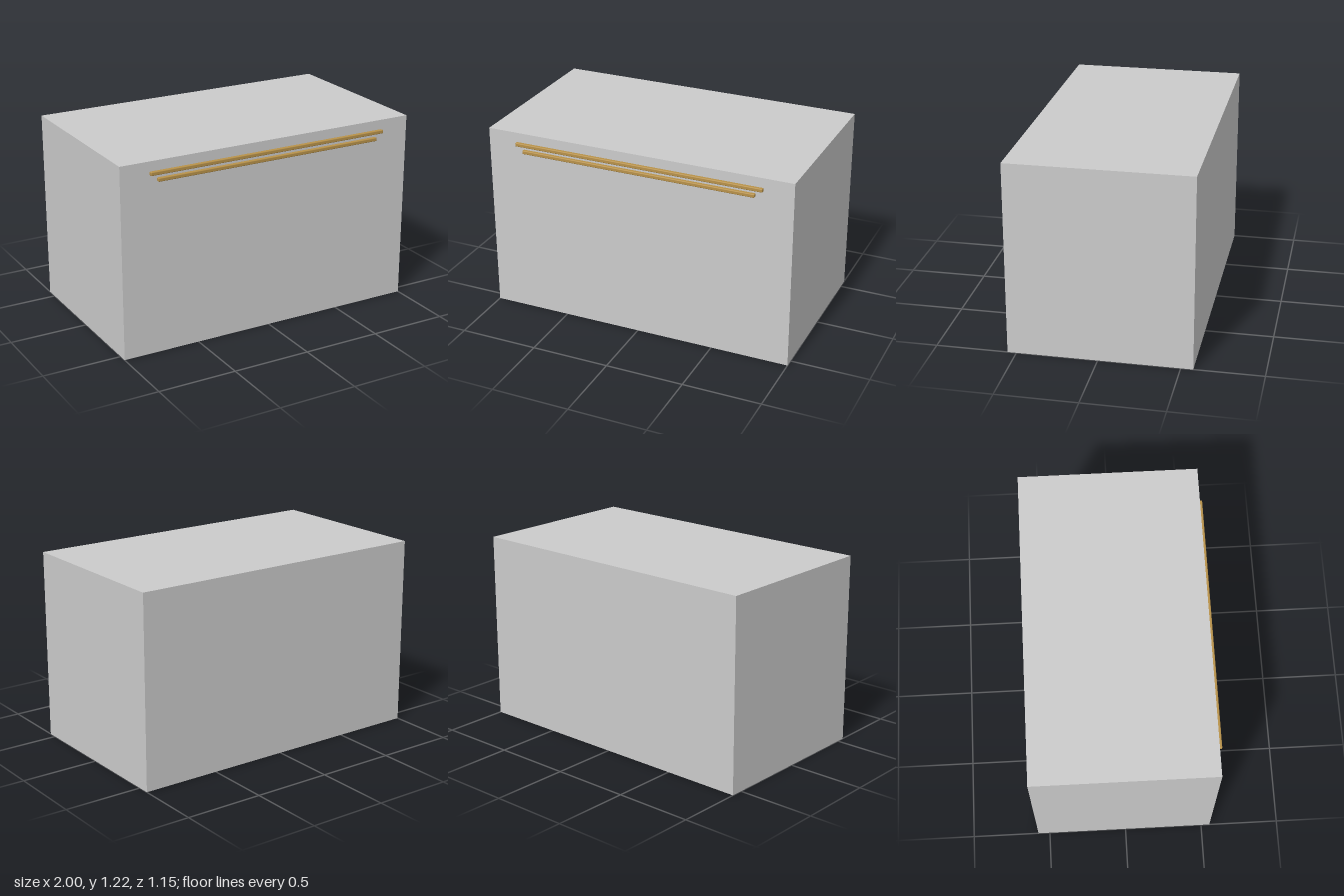
import * as THREE from 'three';
import { RoundedBoxGeometry } from 'three/addons/geometries/RoundedBoxGeometry.js';

export function createModel() {
  const model = new THREE.Group();
  const grey = new THREE.MeshStandardMaterial({ color: 0xcccccc });
  const brass = new THREE.MeshStandardMaterial({ color: 0xb8924a });
  const brown = new THREE.MeshStandardMaterial({ color: 0x7a4a2c });

  const add = (name, geometry, material, y, z) => {
    const mesh = new THREE.Mesh(geometry, material);
    mesh.name = name;
    mesh.position.set(0, y, z);
    model.add(mesh);
  };

  const height = 1.215, depth = 1.13, centreZ = -0.01;

  // Plain cabinet block
  add('body', new THREE.BoxGeometry(2, height, depth), grey, height / 2, centreZ);

  // Inlaid band, just under the surface of the block
  add('inlaidBand', new THREE.BoxGeometry(1.998, 0.08, depth - 0.002), brown, 1.09, centreZ);

  // Two softened trim bars along the upper front, the lower one shorter
  for (const [name, length, y] of [['upperTrimBar', 1.62, 1.142], ['lowerTrimBar', 1.525, 1.099]]) {
    add(name, new RoundedBoxGeometry(length, 0.023, 0.04, 2, 0.005), brass, y, 0.555);
  }

  return model;
}
